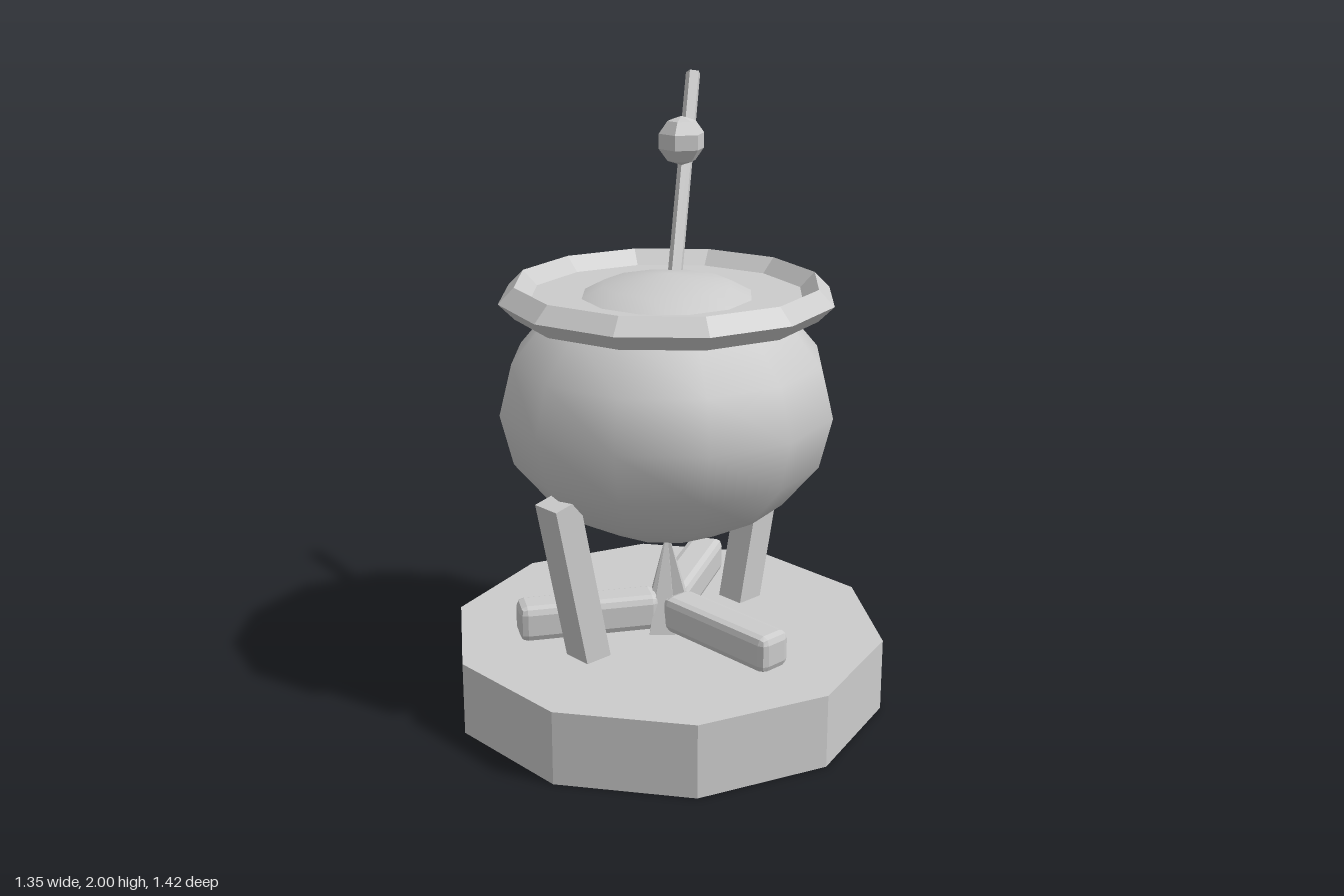
import * as THREE from 'three';
import { RoundedBoxGeometry } from 'three/addons/geometries/RoundedBoxGeometry.js';

export function createModel() {
  const model = new THREE.Group();
  model.name = 'cauldron';
  const flatGrey = new THREE.MeshStandardMaterial({ color: 0xcccccc, flatShading: true });
  flatGrey.name = 'grey';
  // Same colour with smooth normals, for the rounded pot
  const smoothGrey = new THREE.MeshStandardMaterial({ color: 0xcccccc });
  smoothGrey.name = 'smooth grey';

  function add(name, geometry, x, y, z, material = flatGrey) {
    const mesh = new THREE.Mesh(geometry, material);
    mesh.name = name;
    mesh.position.set(x, y, z);
    model.add(mesh);
    return mesh;
  }

  // Places a vertical part so that it runs from one point to another
  function addBetween(name, makeGeometry, from, to) {
    const dir = to.clone().sub(from);
    const mid = from.clone().add(to).multiplyScalar(0.5);
    const mesh = add(name, makeGeometry(dir.length()), mid.x, mid.y, mid.z);
    mesh.quaternion.setFromUnitVectors(new THREE.Vector3(0, 1, 0), dir.normalize());
    return mesh;
  }

  // Ten-sided stone plinth
  add('base', new THREE.CylinderGeometry(0.71, 0.71, 0.24, 10), 0, 0.12, 0);

  // Squashed round pot; its crown rises through the liquid as a dome
  const pot = add('pot', new THREE.SphereGeometry(0.535, 12, 8), 0, 1, 0, smoothGrey);
  pot.scale.y = 0.795;

  // Diamond-section rim and the liquid inside it
  const rim = add('rim', new THREE.TorusGeometry(0.48, 0.05, 4, 12), 0, 1.355, 0);
  rim.rotation.x = -Math.PI / 2;
  add('liquid', new THREE.CylinderGeometry(0.435, 0.435, 0.04, 12), 0, 1.338, 0);

  // Two leaning supports
  for (const side of [-1, 1]) {
    const leg = add(side > 0 ? 'leftLeg' : 'rightLeg',
      new THREE.BoxGeometry(0.095, 0.62, 0.1), side * 0.393, 0.482, 0);
    leg.rotation.z = -side * 0.21;
  }

  // Three chamfered logs meeting in the middle, with flames between them
  const apex = new THREE.Vector3(0, 0.575, 0);
  for (let i = 0; i < 3; i++) {
    const a = (i * Math.PI * 2) / 3;
    const log = add('log' + (i + 1), new RoundedBoxGeometry(0.12, 0.12, 0.46, 1, 0.025),
      Math.sin(a) * 0.265, 0.305, Math.cos(a) * 0.265);
    log.rotation.y = a;

    const b = a + Math.PI;
    const foot = new THREE.Vector3(Math.sin(b) * 0.05, 0.23, Math.cos(b) * 0.05);
    addBetween('flame' + (i + 1), (h) => new THREE.ConeGeometry(0.06, h, 4), foot, apex);
  }

  // Stirring stick
  addBetween('stirringStick', (h) => new THREE.CylinderGeometry(0.025, 0.025, h, 5),
    new THREE.Vector3(0.085, 1.26, -0.07), new THREE.Vector3(0.4, 1.988, -0.3));

  // Faceted bubble floating above
  const bubble = add('bubble', new THREE.SphereGeometry(0.075, 6, 5), 0.06, 1.83, 0);
  bubble.rotation.y = Math.PI / 6;

  return model;
}
